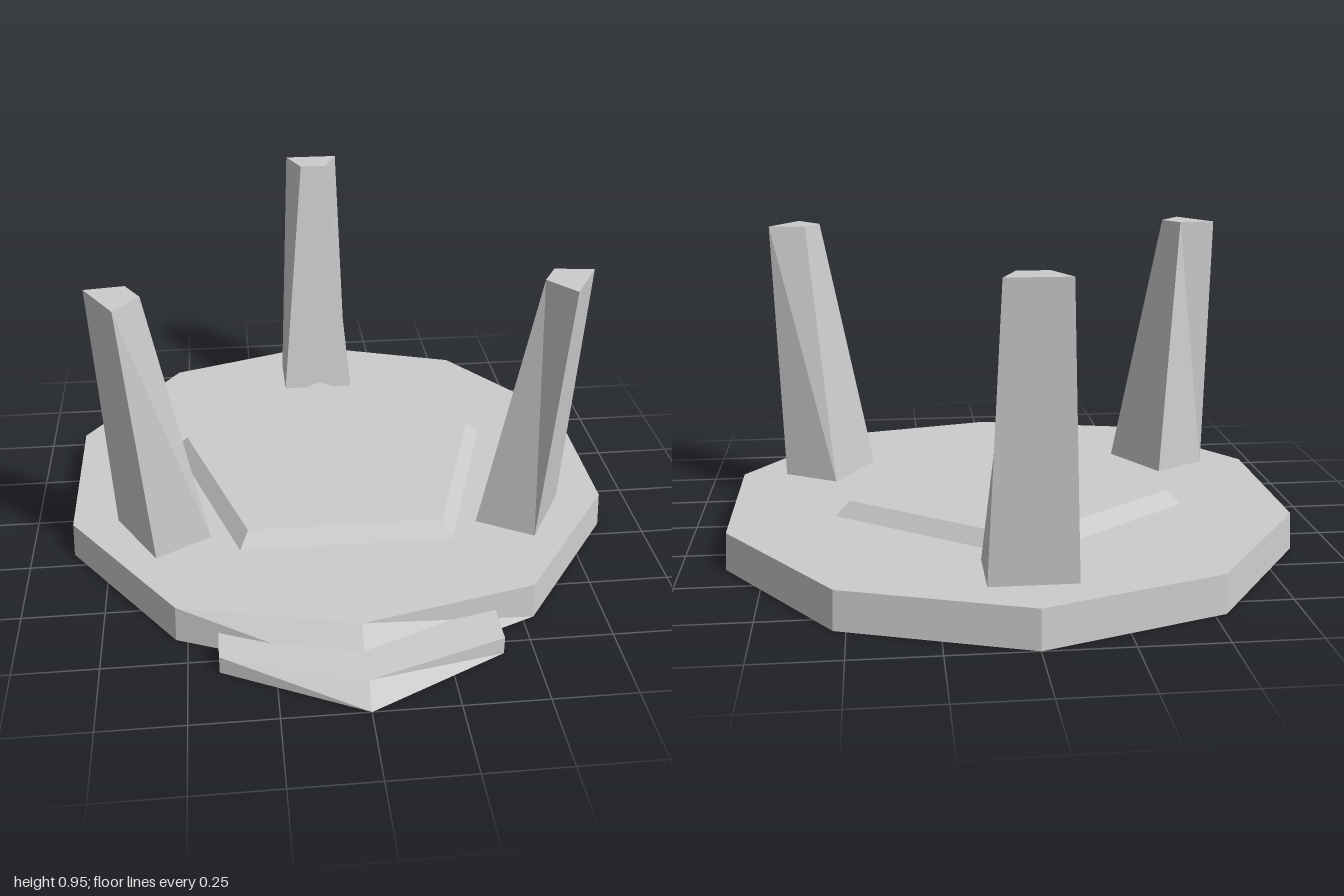
import * as THREE from 'three';

const material = new THREE.MeshStandardMaterial({ color: 0xcccccc, flatShading: true });
const CENTRE_Z = -0.09;

// Regular polygon as [x, z] points, first corner at the back, clockwise from above
function polygon(sides, radius, cz) {
  return Array.from({ length: sides }, (_, i) => {
    const a = (i / sides) * Math.PI * 2;
    return [radius * Math.sin(a), cz - radius * Math.cos(a)];
  });
}

// Closed flat-sided solid between two convex outlines with matching corners
function loft(name, bottom, y0, top, y1) {
  const b = bottom.map(([x, z]) => [x, y0, z]);
  const t = top.map(([x, z]) => [x, y1, z]);
  const n = b.length;
  const pos = [];
  const tri = (...corners) => corners.forEach((c) => pos.push(...c));
  for (let i = 0; i < n; i++) {
    const j = (i + 1) % n;
    tri(b[i], t[i], t[j]);
    tri(b[i], t[j], b[j]);
  }
  for (let i = 1; i < n - 1; i++) {
    tri(t[0], t[i + 1], t[i]);
    tri(b[0], b[i], b[i + 1]);
  }
  const geometry = new THREE.BufferGeometry();
  geometry.setAttribute('position', new THREE.Float32BufferAttribute(pos, 3));
  geometry.computeVertexNormals();
  const mesh = new THREE.Mesh(geometry, material);
  mesh.name = name;
  return mesh;
}

export function createModel() {
  const group = new THREE.Group();
  group.name = 'pillarPlatform';

  // Ten-sided base, its front corner sloped back above the step
  const baseBottom = polygon(10, 0.91, CENTRE_Z);
  const baseTop = polygon(10, 0.904, CENTRE_Z);
  baseBottom[5] = [0, 0.865];
  baseTop[5] = [0, 0.765];
  group.add(loft('base', baseBottom, 0, baseTop, 0.115));

  // Pointed front step
  const step = (tip) => [[-0.41, 0.6], [0.41, 0.6], [0.41, 0.8], [0, tip], [-0.41, 0.8]];
  group.add(loft('frontStep', step(1), 0, step(0.935), 0.056));

  // Raised five-sided plate with bevelled rim
  group.add(loft('centrePlate', polygon(5, 0.573, -0.078), 0.11, polygon(5, 0.522, -0.083), 0.16));

  // Three tapering pillars around the base, leaning outward
  const foot = [[-0.125, -0.755], [0.125, -0.755], [0.125, -0.56], [-0.125, -0.56]];
  const head = [[-0.09, -0.81], [0.09, -0.81], [0.045, -0.7], [-0.045, -0.7]];
  ['backPillar', 'rightPillar', 'leftPillar'].forEach((name, i) => {
    const pillar = loft(name, foot, 0.114, head, 0.95);
    pillar.rotation.y = (i * Math.PI * 2) / 3;
    pillar.position.z = CENTRE_Z;
    group.add(pillar);
  });

  return group;
}
